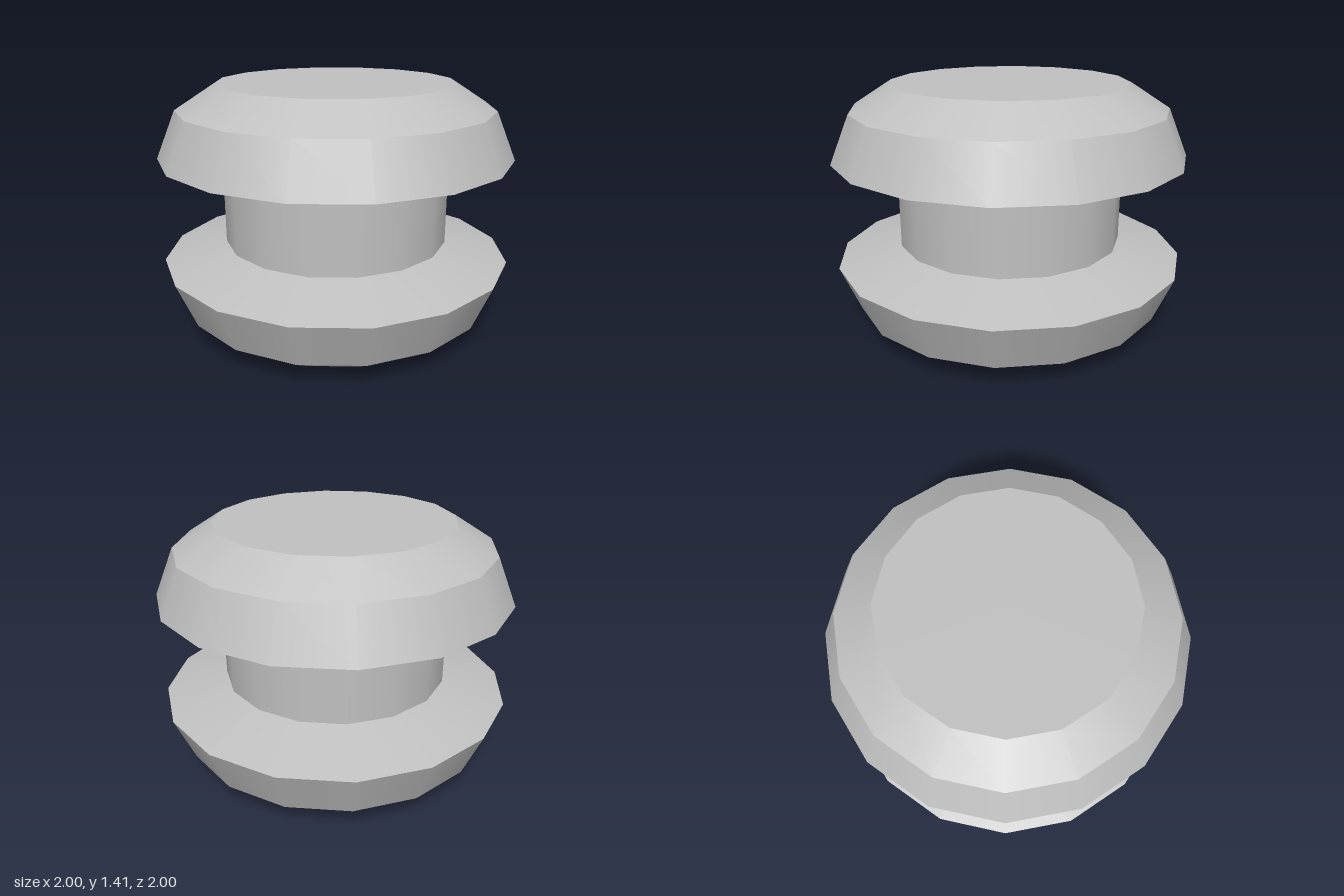
import * as THREE from 'three';
import { mergeGeometries } from 'three/addons/utils/BufferGeometryUtils.js';

const SIDES = 16;

// Turns a profile into bands: smooth around the axis, sharp between rings.
function turned(name, profile, material) {
  const bands = profile.slice(1).map((point, i) =>
    new THREE.LatheGeometry(
      [new THREE.Vector2(...profile[i]), new THREE.Vector2(...point)], SIDES));
  const mesh = new THREE.Mesh(mergeGeometries(bands), material);
  mesh.name = name;
  return mesh;
}

export function createModel() {
  const group = new THREE.Group();
  group.name = 'spool';
  const grey = new THREE.MeshStandardMaterial({ color: 0xc0c0c0 });
  grey.name = 'grey';

  const height = 1.41;
  const lower = [[0, 0], [0.67, 0], [0.89, 0.14], [1, 0.405], [0.645, 0.5]];
  // The upper flange mirrors the lower one
  const upper = lower.map(([r, y]) => [r, height - y]).reverse();

  group.add(turned('lowerFlange', lower, grey));
  group.add(turned('core', [[0.645, 0.5], [0.645, height - 0.5]], grey));
  group.add(turned('upperFlange', upper, grey));
  return group;
}
